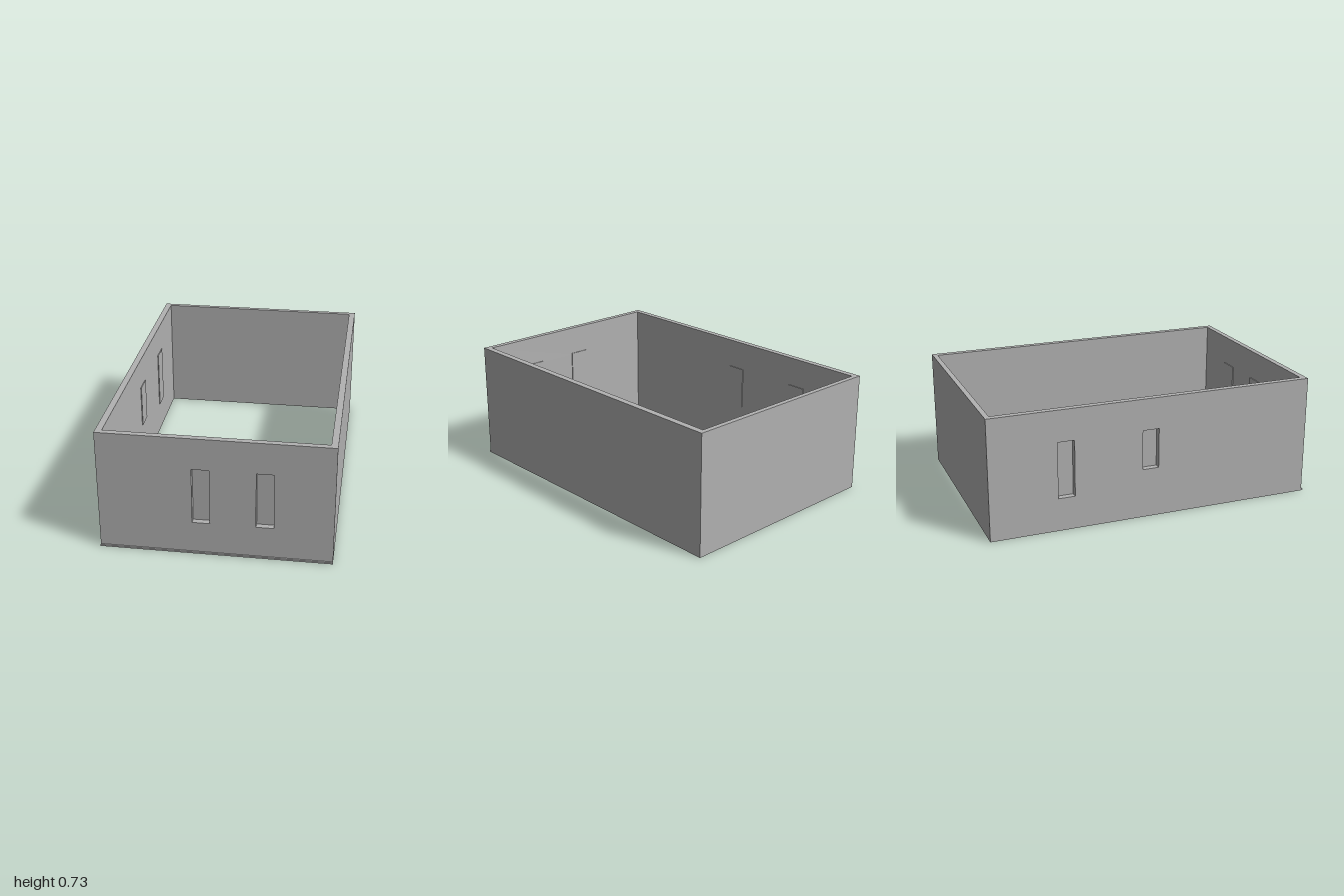
import * as THREE from 'three';

const H = 0.73;      // wall height
const X = 0.665;     // half width
const T = 0.038;     // side wall thickness
const BACK = -1, FRONT = 0.99, INNER_BACK = -0.97, INNER_FRONT = 0.955;
const PLATE = 0.005, MARGIN = 0.011;

export function createModel() {
  const model = new THREE.Group();
  const grey = new THREE.MeshStandardMaterial({ color: 0xb2b2b2 });
  grey.name = 'plain grey';

  function add(name, geometry, parent, x = 0, y = 0, z = 0) {
    const mesh = new THREE.Mesh(geometry, grey);
    mesh.name = name;
    mesh.position.set(x, y, z);
    parent.add(mesh);
    return mesh;
  }

  function box(name, x0, x1, y0, y1, z0, z1, parent = model) {
    add(name, new THREE.BoxGeometry(x1 - x0, y1 - y0, z1 - z0), parent,
      (x0 + x1) / 2, (y0 + y1) / 2, (z0 + z1) / 2);
  }

  // Wall with slots, each closed by a slightly larger thin plate on the inside.
  // The wall's outer side faces local +z; its inner side lies at z = 0.
  function slottedWall(name, u0, u1, thickness, slots) {
    const wall = new THREE.Group();
    wall.name = name;
    const shape = new THREE.Shape();
    shape.moveTo(u0, 0).lineTo(u1, 0).lineTo(u1, H).lineTo(u0, H).closePath();
    for (const [a, b, low, high] of slots) {
      const hole = new THREE.Path();
      hole.moveTo(a, low).lineTo(a, high).lineTo(b, high).lineTo(b, low).closePath();
      shape.holes.push(hole);
      box('slotBackPlate', a - MARGIN, b + MARGIN, low - MARGIN, high + MARGIN, -PLATE, 0, wall);
    }
    add(name + 'Panel', new THREE.ExtrudeGeometry(shape, { depth: thickness, bevelEnabled: false }), wall);
    model.add(wall);
    return wall;
  }

  // Front wall with two tall slots
  const front = slottedWall('frontWall', -X, X, FRONT - INNER_FRONT,
    [[-0.13, -0.03, 0.2, 0.54], [0.23, 0.33, 0.2, 0.54]]);
  front.position.z = INNER_FRONT;

  // Right wall with one tall and one short slot; local x runs along z
  const right = slottedWall('rightWall', INNER_BACK, INNER_FRONT, T,
    [[-0.595, -0.495, 0.2, 0.54], [-0.08, 0.02, 0.3, 0.54]]);
  right.rotation.y = -Math.PI / 2;
  right.position.x = -X + T;

  // Plain walls
  box('leftWall', X - T, X, 0, H, INNER_BACK, INNER_FRONT);
  box('backWall', -X, X, 0, H, BACK, INNER_BACK);

  // Thin lip along the foot of the front wall
  box('frontLip', -X, X, 0, 0.01, FRONT, 1);

  return model;
}
